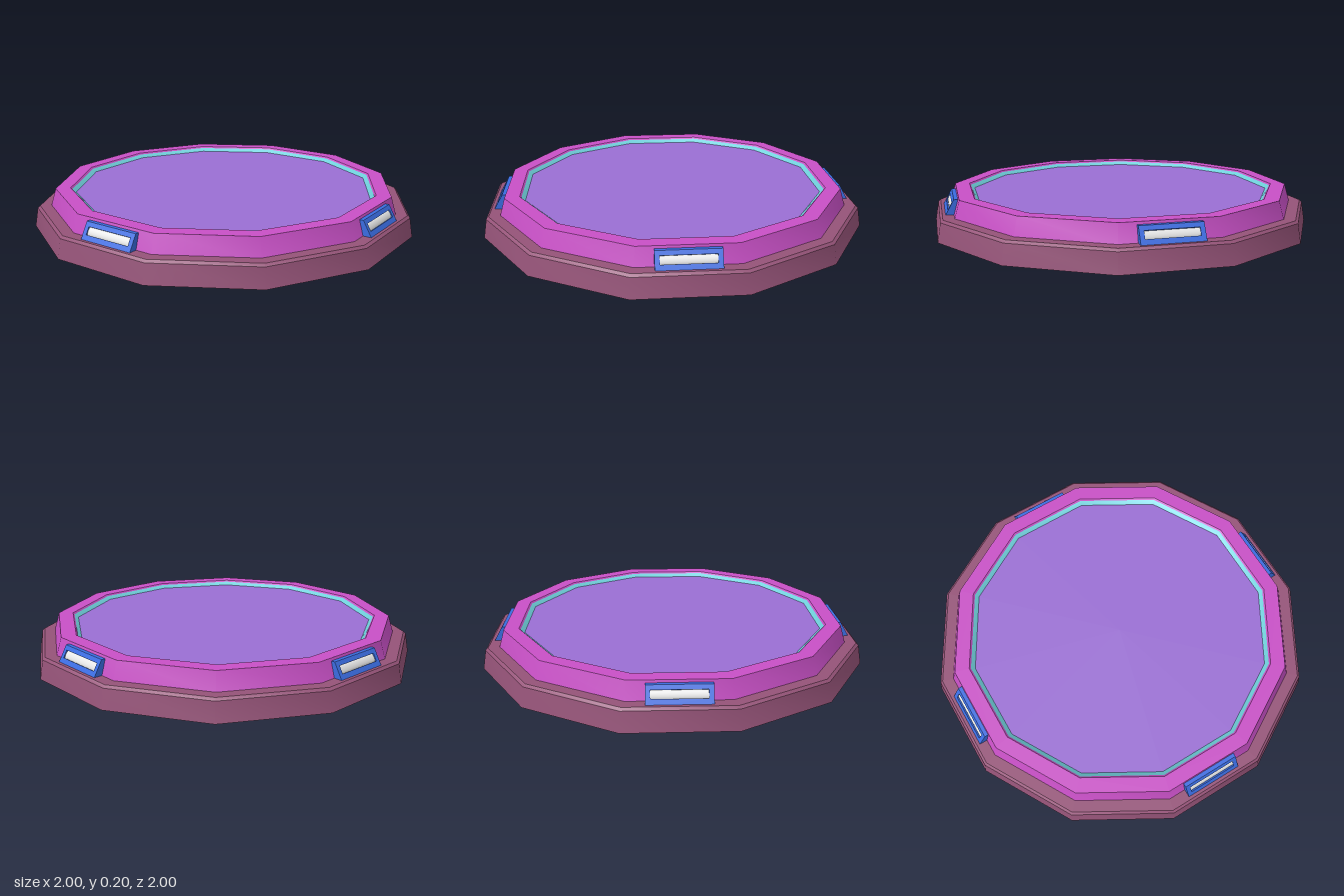
import * as THREE from 'three';
import { toCreasedNormals } from 'three/addons/utils/BufferGeometryUtils.js';

const SIDES = 12;
const CORNER = 1 / Math.cos(Math.PI / SIDES); // flat-to-flat radius -> corner radius

function material(name, color, side = THREE.DoubleSide) {
  const m = new THREE.MeshStandardMaterial({ color, side });
  m.name = name;
  return m;
}

function part(name, geometry, mat) {
  const mesh = new THREE.Mesh(geometry, mat);
  mesh.name = name;
  return mesh;
}

// Twelve-sided shell from a [flat radius, height] profile
function shell(name, profile, mat) {
  const points = profile.map(([r, y]) => new THREE.Vector2(r * CORNER, y));
  const geo = new THREE.LatheGeometry(points, SIDES, Math.PI / SIDES);
  return part(name, toCreasedNormals(geo, 0.6), mat);
}

export function createModel() {
  const wine = material('wine', 0x955378);
  const magenta = material('magenta', 0xc850c6);
  const violet = material('violet', 0x9a6fd4);
  const cyan = material('cyan', 0x70d0dc);
  const blue = material('blue', 0x3a6ce0);
  const white = material('white', 0xf0f0f0);

  const model = new THREE.Group();
  model.name = 'platform';

  // Hollow base, raised rim, inner trim and floor
  model.add(
    shell('base', [[1, 0], [0.983, 0.1], [0.97, 0.112], [0, 0.112]], wine),
    shell('rim', [[0.915, 0.102], [0.886, 0.203], [0.81, 0.203], [0.802, 0.195]], magenta),
    shell('innerTrim', [[0.802, 0.195], [0.782, 0.178]], cyan),
    shell('floor', [[0.782, 0.178], [0, 0.178]], violet),
  );

  // Crossing beams under the floor, with raised ends
  const halfWidth = 0.153, low = 0.102, high = 0.19, outer = 0.96, inner = 0.91;
  const side = new THREE.Shape([
    [-outer, low], [outer, low], [inner, high], [0.86, high],
    [0.86, 0.15], [-0.86, 0.15], [-0.86, high], [-inner, high],
  ].map(([z, y]) => new THREE.Vector2(z, y)));
  const sideGeo = new THREE.ShapeGeometry(side).rotateY(-Math.PI / 2);

  // Slanted lamp frame with a rectangular opening
  const slant = Math.hypot(outer - inner, high - low);
  const tilt = Math.atan2(outer - inner, high - low);
  const rect = (w, a, b) => [[-w, a], [w, a], [w, b], [-w, b]].map(([x, y]) => new THREE.Vector2(x, y));
  const frame = new THREE.Shape(rect(halfWidth, 0, slant));
  frame.holes.push(new THREE.Path(rect(0.13, 0.038, 0.078)));
  const frameGeo = new THREE.ExtrudeGeometry(frame, { depth: 0.012, bevelEnabled: false });
  frameGeo.translate(0, 0, -0.012);
  const lensGeo = new THREE.CylinderGeometry(0.022, 0.022, 0.264, 12).rotateZ(Math.PI / 2);
  lensGeo.scale(1, 1, 0.4);
  const capGeo = new THREE.PlaneGeometry(halfWidth * 2, inner - 0.86).rotateX(-Math.PI / 2);

  for (let i = 0; i < 2; i++) {
    const beam = new THREE.Group();
    beam.name = 'beam';
    for (const s of [-1, 1]) {
      const wall = part('beamSide', sideGeo, blue);
      wall.position.x = s * halfWidth;
      beam.add(wall);
    }
    beam.rotation.y = i * Math.PI / 2;
    model.add(beam);
  }

  // One lamp on each of the four main sides
  for (let i = 0; i < 4; i++) {
    const lamp = new THREE.Group();
    lamp.name = 'lamp';
    const face = new THREE.Group();
    face.name = 'lampFace';
    const lens = part('lampLens', lensGeo, white);
    lens.position.set(0, 0.058, -0.013);
    face.add(part('lampFrame', frameGeo, blue), lens);
    face.position.set(0, low, outer);
    face.rotation.x = -tilt;
    const cap = part('lampTop', capGeo, blue);
    cap.position.set(0, high, (inner + 0.86) / 2);
    lamp.add(face, cap);
    lamp.rotation.y = i * Math.PI / 2;
    model.add(lamp);
  }

  return model;
}
